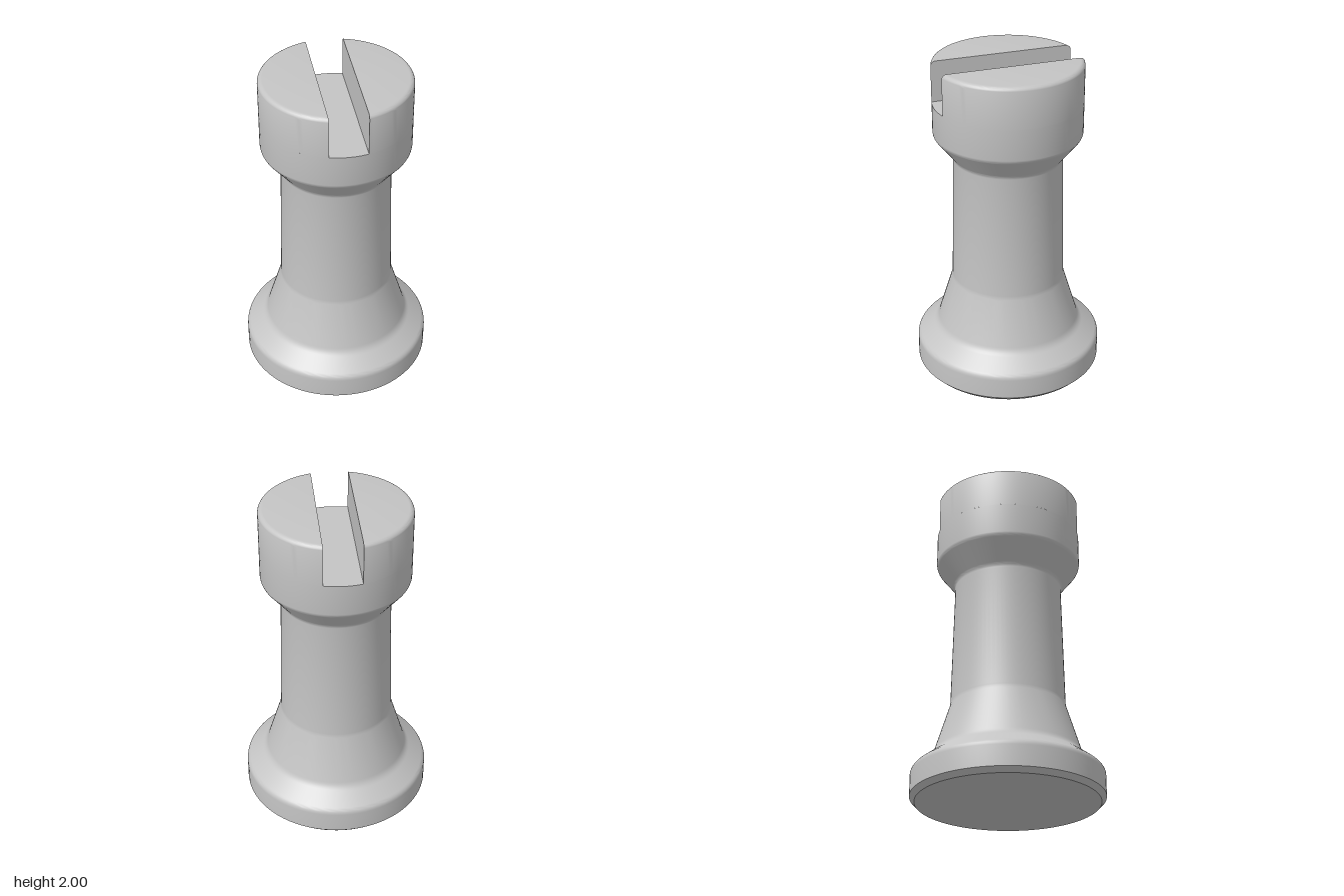
import * as THREE from 'three';
import { toCreasedNormals } from 'three/addons/utils/BufferGeometryUtils.js';

const HEAD_R = 0.448, SLOT = 0.112, FLOOR = 1.75, TOP = 2, CREASE = 0.5;

// Profile from [radius, y, fillet length] corners; a fillet is a short curve cut into the corner.
function filletedProfile(corners) {
  const points = [];
  corners.forEach(([x, y, cut], i) => {
    const p = new THREE.Vector2(x, y);
    if (!cut) return points.push(p);
    const toward = ([qx, qy]) => new THREE.Vector2(qx, qy).sub(p).setLength(cut).add(p);
    const curve = new THREE.QuadraticBezierCurve(toward(corners[i - 1]), p, toward(corners[i + 1]));
    points.push(...curve.getPoints(5));
  });
  return points;
}

// Half of the slotted crown: a circle segment with a rounded outer rim and a flat slot wall.
function merlonGeometry() {
  const round = 0.03, arcSteps = 48;
  const levels = [[HEAD_R, FLOOR]];
  for (let i = 0; i <= 6; i++) {
    const a = (i / 6) * Math.PI / 2;
    levels.push([HEAD_R - round + round * Math.cos(a), TOP - round + round * Math.sin(a)]);
  }
  const positions = [], index = [];
  for (const [r, y] of levels) {
    const half = Math.acos(SLOT / r);
    for (let j = 0; j <= arcSteps; j++) {
      const t = half * (2 * j / arcSteps - 1);
      positions.push(r * Math.cos(t), y, r * Math.sin(t));
    }
  }
  const at = (i, j) => i * (arcSteps + 1) + j;
  const quad = (a, b, c, d) => index.push(a, b, c, a, c, d);
  const last = levels.length - 1;
  for (let i = 0; i < last; i++) {
    for (let j = 0; j < arcSteps; j++) quad(at(i, j), at(i + 1, j), at(i + 1, j + 1), at(i, j + 1));
    quad(at(i, 0), at(i, arcSteps), at(i + 1, arcSteps), at(i + 1, 0)); // slot wall
  }
  // Flat top
  const centre = positions.length / 3;
  positions.push(SLOT, TOP, 0);
  for (let j = 0; j < arcSteps; j++) index.push(centre, at(last, j + 1), at(last, j));

  const geometry = new THREE.BufferGeometry();
  geometry.setAttribute('position', new THREE.Float32BufferAttribute(positions, 3));
  geometry.setIndex(index);
  return toCreasedNormals(geometry, CREASE);
}

export function createModel() {
  const model = new THREE.Group();
  model.name = 'rook';
  const grey = new THREE.MeshStandardMaterial({ color: 0xc4c4c4 });
  grey.name = 'light grey';

  // Base, tapering shaft and head up to the slot floor
  const profile = filletedProfile([
    [0, 0], [0.545, 0], [0.574, 0.03],
    [0.574, 0.18, 0.025],
    [0.447, 0.275, 0.03],
    [0.347, 0.6, 0.02],
    [0.329, 1.4, 0.02],
    [HEAD_R, 1.55, 0.018],
    [HEAD_R, FLOOR], [0, FLOOR],
  ]);
  const body = new THREE.Mesh(toCreasedNormals(new THREE.LatheGeometry(profile, 80), CREASE), grey);
  body.name = 'body';
  model.add(body);

  // Two crown halves either side of the slot
  const merlon = merlonGeometry();
  ['leftMerlon', 'rightMerlon'].forEach((name, i) => {
    const mesh = new THREE.Mesh(merlon, grey);
    mesh.name = name;
    mesh.rotation.y = i * Math.PI;
    model.add(mesh);
  });
  return model;
}
